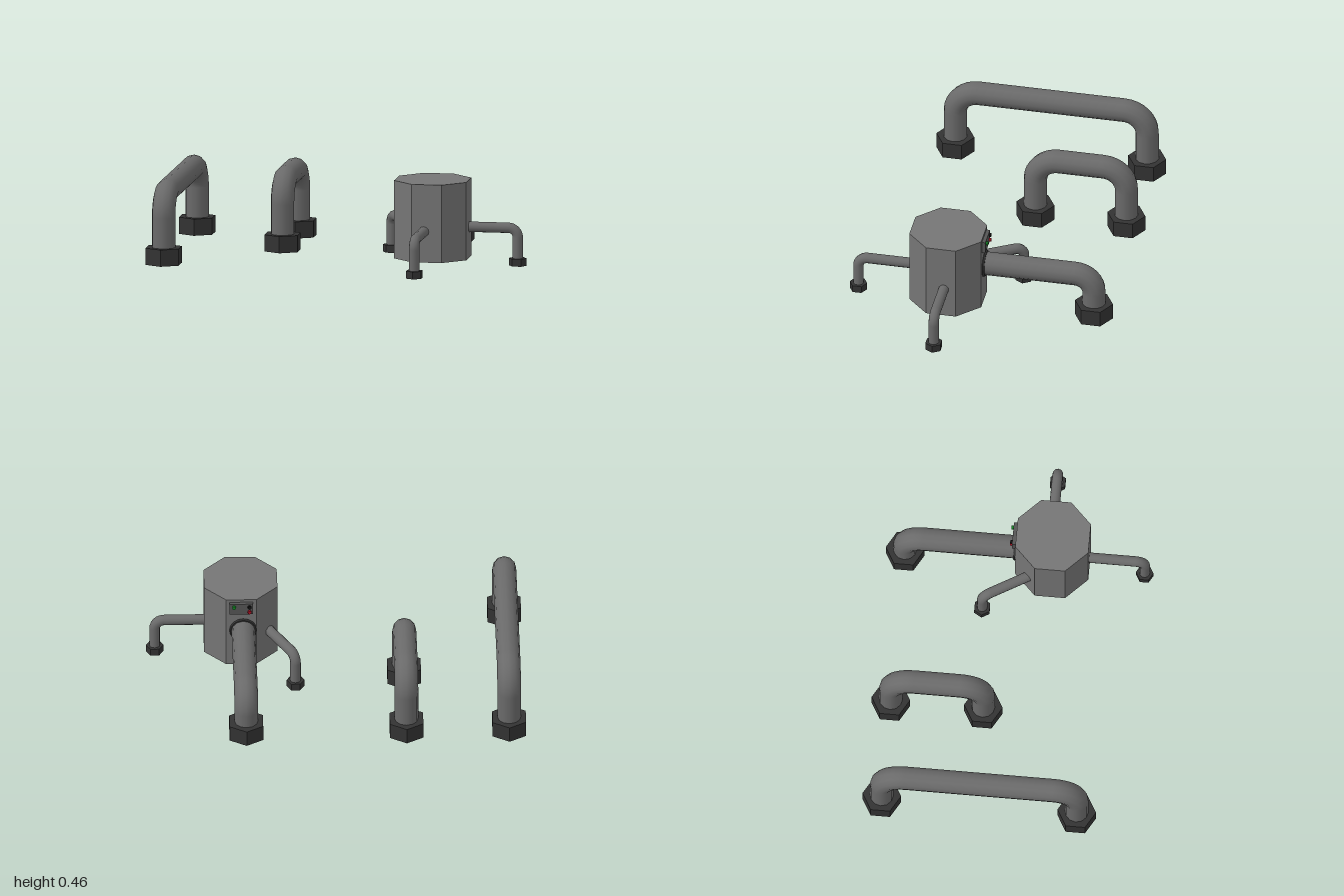
import * as THREE from 'three';

const mat = (color) => new THREE.MeshStandardMaterial({ color });
const steel = mat(0x6a6a6a);
const dark = mat(0x333333);
dark.flatShading = true;
const shell = mat(0x757575);
shell.flatShading = true;

function add(parent, name, geometry, material, x = 0, y = 0, z = 0) {
  const mesh = new THREE.Mesh(geometry, material);
  mesh.name = name;
  mesh.position.set(x, y, z);
  parent.add(mesh);
  return mesh;
}

// Pipe running out along local +x, bending down into a hexagonal foot
function bentPipe(name, { length, height, radius, bend, footRadius, footHeight }) {
  const g = new THREE.Group();
  g.name = name;
  const run = length - bend;
  const drop = height - bend;
  add(g, 'run', new THREE.CylinderGeometry(radius, radius, run, 12, 1, true).rotateZ(Math.PI / 2), steel, run / 2, height);
  add(g, 'elbow', new THREE.TorusGeometry(bend, radius, 12, 8, Math.PI / 2), steel, run, drop);
  add(g, 'upright', new THREE.CylinderGeometry(radius, radius, drop, 12, 1, true), steel, length, drop / 2);
  add(g, 'foot', new THREE.CylinderGeometry(footRadius, footRadius, footHeight, 6).rotateY(Math.PI / 2), dark, length, footHeight / 2);
  return g;
}

const large = { radius: 0.063, footRadius: 0.103, footHeight: 0.09 };
const small = { radius: 0.028, footRadius: 0.047, footHeight: 0.04, height: 0.202, bend: 0.05 };

// Free-standing arch made of two mirrored bent pipes along z
function archPipe(name, x, zBack, zFront) {
  const g = new THREE.Group();
  g.name = name;
  for (const side of [-1, 1]) {
    const half = bentPipe('archHalf', { ...large, length: (zFront - zBack) / 2, height: 0.377, bend: 0.125 });
    half.rotation.y = side * Math.PI / 2;
    g.add(half);
  }
  g.position.set(x, 0, (zBack + zFront) / 2);
  return g;
}

export function createModel() {
  const model = new THREE.Group();
  model.name = 'pipeSet';

  // Two arched pipes
  model.add(archPipe('longArch', -0.915, -0.612, 0.43));
  model.add(archPipe('shortArch', -0.368, -0.612, -0.118));

  // Octagonal tank
  const tankRadius = 0.195 / Math.cos(Math.PI / 8);
  const tank = new THREE.CylinderGeometry(tankRadius, tankRadius, 0.42, 8).rotateY(Math.PI / 8);
  add(model, 'tank', tank, shell, 0.495, 0.246, 0.178);

  // Large outlet at the back with a collar
  const outlet = bentPipe('outletPipe', { ...large, length: 0.632, height: 0.26, bend: 0.1 });
  outlet.position.set(0.485, 0, 0.02);
  outlet.rotation.y = Math.PI / 2;
  model.add(outlet);
  add(model, 'outletCollar', new THREE.TorusGeometry(0.064, 0.01, 6, 16), dark, 0.485, 0.26, -0.02);

  // Thin pipes: start x, start z, length, heading
  const thinPipes = [
    ['frontPipe', 0.48, 0.3, 0.369, -Math.PI / 2],
    ['leftPipe', 0.6, 0.163, 0.352, 0],
    ['backPipe', 0.37, 0.1, 0.318, Math.PI * 2 / 3],
  ];
  for (const [name, x, z, length, heading] of thinPipes) {
    const pipe = bentPipe(name, { ...small, length });
    pipe.position.set(x, 0, z);
    pipe.rotation.y = heading;
    model.add(pipe);
  }

  // Control panel with three buttons above the outlet
  add(model, 'controlPanel', new THREE.BoxGeometry(0.125, 0.066, 0.022), mat(0x555555), 0.495, 0.407, -0.025);
  const buttons = [
    ['greenButton', 0.534, 0.422, 0x118822],
    ['blackButton', 0.452, 0.422, 0x111111],
    ['redButton', 0.452, 0.391, 0xaa1122],
  ];
  for (const [name, x, y, color] of buttons) {
    add(model, name, new THREE.CylinderGeometry(0.01, 0.01, 0.012, 12).rotateX(Math.PI / 2), mat(color), x, y, -0.041);
  }

  return model;
}
